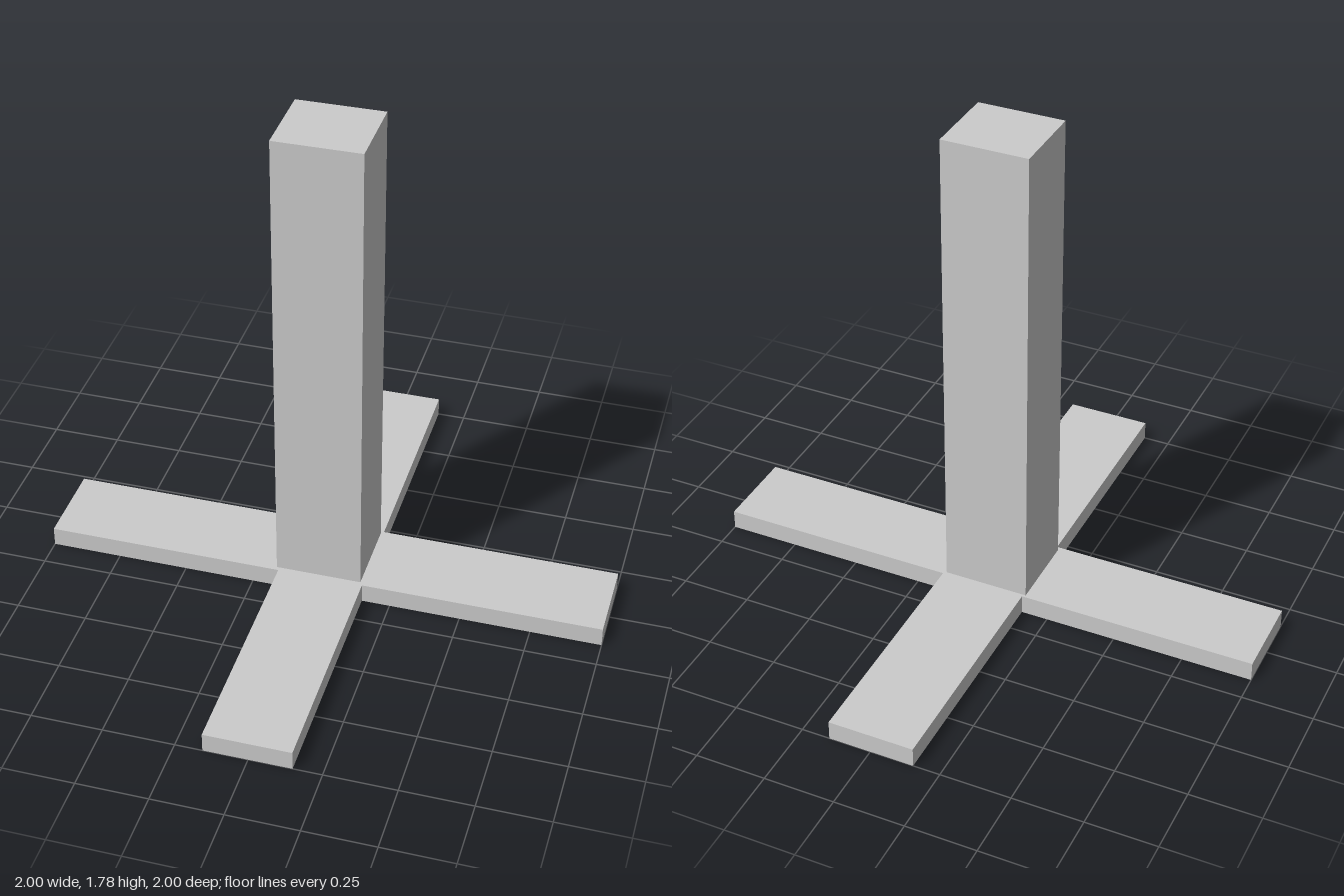
import * as THREE from 'three';

export function createModel() {
  const group = new THREE.Group();
  const material = new THREE.MeshStandardMaterial({ color: 0xcccccc, flatShading: true });
  const baseHeight = 0.07, topHeight = 1.785;

  // Cross-shaped foot: two flat bars joined into one plus outline
  const arm = 1, xMin = -0.155, xMax = 0.15, yMin = -0.15, yMax = 0.155;
  const outline = new THREE.Shape([
    [xMin, -arm], [xMax, -arm], [xMax, yMin], [arm, yMin],
    [arm, yMax], [xMax, yMax], [xMax, arm], [xMin, arm],
    [xMin, yMax], [-arm, yMax], [-arm, yMin], [xMin, yMin],
  ].map(([x, y]) => new THREE.Vector2(x, y)));
  const footGeometry = new THREE.ExtrudeGeometry(outline, { depth: baseHeight, bevelEnabled: false });
  footGeometry.rotateX(-Math.PI / 2);
  const foot = new THREE.Mesh(footGeometry, material);
  foot.name = 'crossFoot';
  group.add(foot);

  // Upright post, set slightly off centre on the foot
  const postHeight = topHeight - baseHeight;
  const post = new THREE.Mesh(new THREE.BoxGeometry(0.305, postHeight, 0.28), material);
  post.name = 'post';
  post.position.set(-0.012, baseHeight + postHeight / 2, -0.005);
  group.add(post);

  return group;
}
